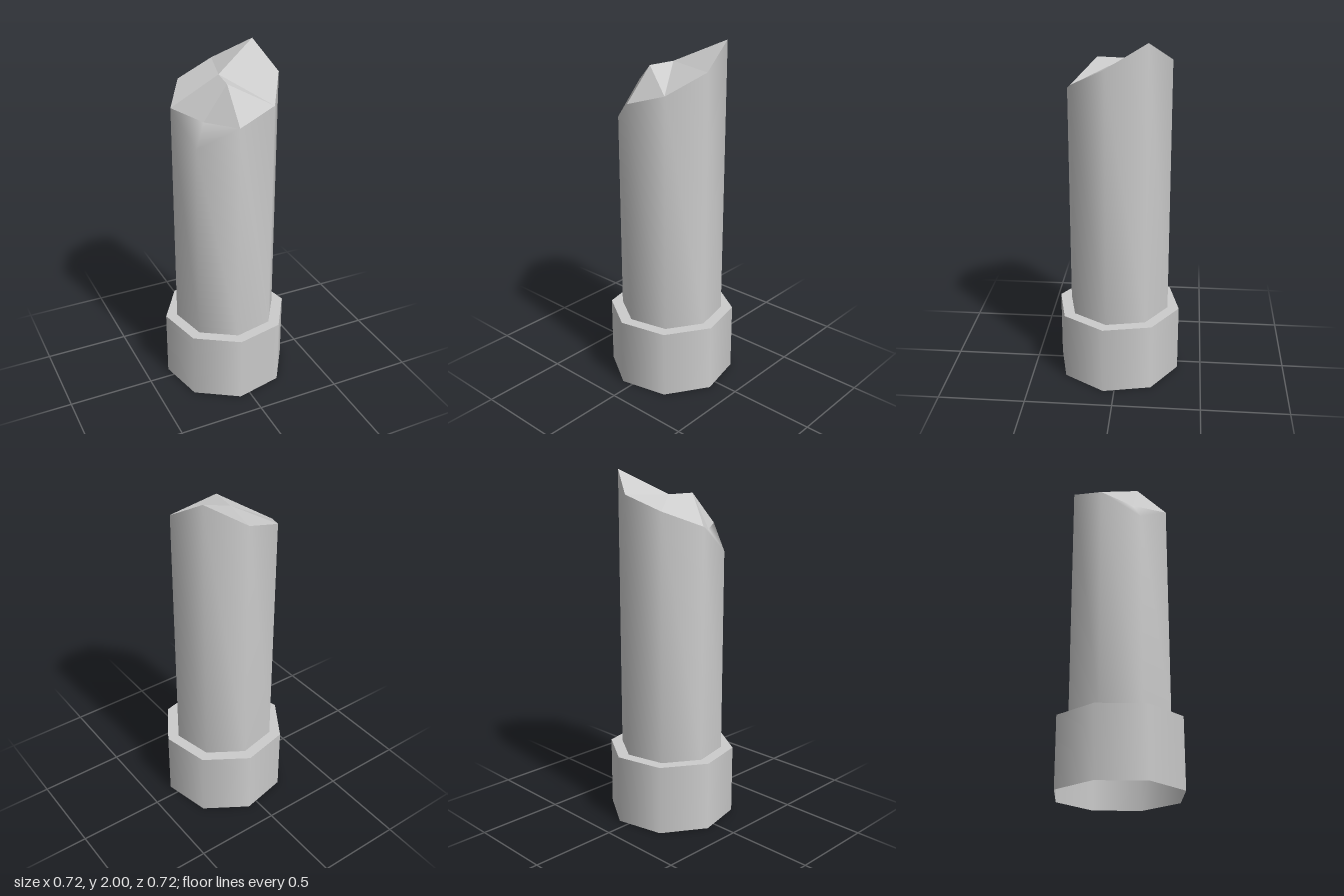
import * as THREE from 'three';

const SIDES = 8, TURN = THREE.MathUtils.degToRad(10);
const BASE_R = 0.366, SHAFT_R = 0.298, BASE_H = 0.4;

// Height of the broken rim at each corner of the shaft
const RIM = [1.87, 1.76, 1.69, 1.56, 1.72, 1.805, 1.88, 2.0];

function corner(i, y) {
  const a = TURN + (i % SIDES) * Math.PI * 2 / SIDES;
  return [SHAFT_R * Math.cos(a), y, SHAFT_R * Math.sin(a)];
}

function indexed(points, index) {
  const g = new THREE.BufferGeometry();
  g.setAttribute('position', new THREE.Float32BufferAttribute(points.flat(), 3));
  g.setIndex(index);
  return g;
}

export function createModel() {
  const group = new THREE.Group();
  const stone = new THREE.MeshStandardMaterial({ color: 0xcccccc, side: THREE.DoubleSide });
  stone.name = 'stone grey';

  const add = (name, geometry) => {
    const mesh = new THREE.Mesh(geometry, stone);
    mesh.name = name;
    group.add(mesh);
    return mesh;
  };

  // Plinth: open octagonal band with a flat ledge on top
  add('plinthWall', new THREE.CylinderGeometry(BASE_R, BASE_R, BASE_H, SIDES, 1, true, Math.PI / 2 - TURN))
    .position.y = BASE_H / 2;
  const ledge = new THREE.RingGeometry(SHAFT_R, BASE_R, SIDES, 1, -TURN);
  ledge.rotateX(-Math.PI / 2);
  add('plinthLedge', ledge).position.y = BASE_H;

  // Points 0-7 are the broken rim, then the inner points of the break
  const rim = RIM.map((y, i) => corner(i, y));
  const CENTRE = 8, KNOB = 9, NOTCH = 10;
  const top = [...rim, [-0.02, 1.87, -0.038], [-0.045, 1.87, 0.122], [-0.175, 1.68, 0.115]];

  // Shaft: smooth walls, with the chipped corner blended into them
  const foot = rim.map((_, i) => corner(i, BASE_H));
  const walls = [];
  for (let i = 0; i < SIDES; i++) {
    const j = (i + 1) % SIDES, f = top.length;
    walls.push(f + i, i, j, f + i, j, f + j);
  }
  walls.push(NOTCH, 4, 3, NOTCH, 3, 2);
  const shaft = indexed([...top, ...foot], walls);
  shaft.computeVertexNormals();
  add('shaft', shaft);

  // Jagged break: flat facets
  const facets = [
    CENTRE, 7, 6, CENTRE, 6, 5, CENTRE, 5, 4, CENTRE, 1, 0, CENTRE, 0, 7,
    CENTRE, 4, KNOB, CENTRE, KNOB, 1, KNOB, 2, 1, KNOB, NOTCH, 2, KNOB, 4, NOTCH,
  ];
  const jagged = indexed(top, facets).toNonIndexed();
  jagged.computeVertexNormals();
  add('brokenTop', jagged);

  return group;
}
